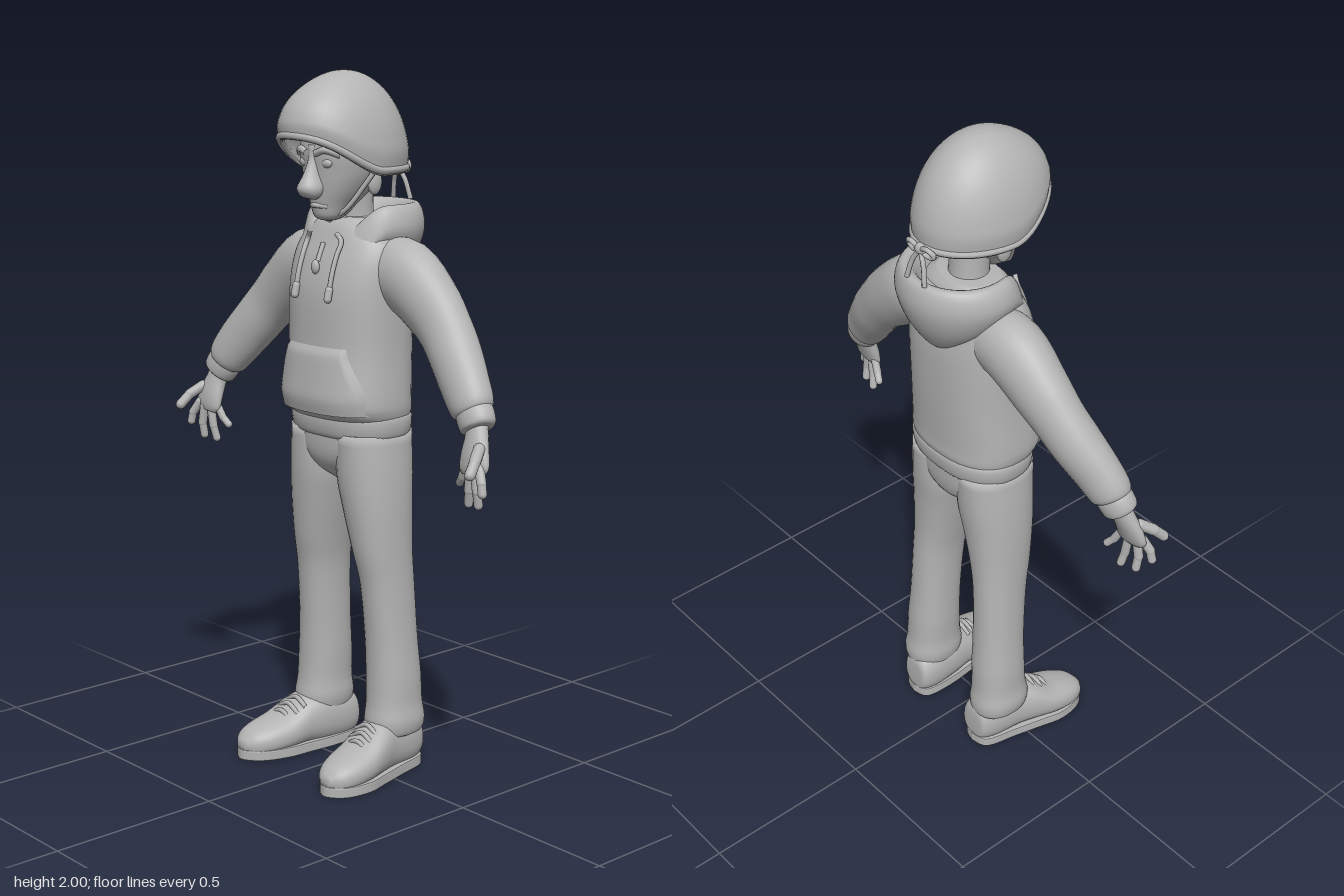
import * as THREE from 'three';

const grey = new THREE.MeshStandardMaterial({ color: 0xb4b4b4 });
grey.name = 'plain grey';
const V = (x, y, z) => new THREE.Vector3(x, y, z);
const smooth = THREE.MathUtils.smoothstep;

// Smooth skin through rows [x, y, z, a, b]; b is the half size along ref, a across it.
// An axis keeps all rings parallel, otherwise they follow the path.
function loft(rows, { ref = V(1, 0, 0), axis = null, n = 2, seg = 32, sub = 4, deform } = {}) {
  const path = new THREE.CatmullRomCurve3(rows.map(r => V(r[0], r[1], r[2])), false, 'catmullrom');
  const size = new THREE.CatmullRomCurve3(rows.map(r => V(r[3], r[4], 0)), false, 'catmullrom');
  const steps = (rows.length - 1) * sub, pos = [], idx = [];
  for (let i = 0; i <= steps; i++) {
    const t = i / steps, c = path.getPoint(t), s = size.getPoint(t);
    const w = axis || path.getTangent(t);
    const v = ref.clone().addScaledVector(w, -ref.dot(w)).normalize();
    const u = v.clone().cross(w);
    for (let j = 0; j < seg; j++) {
      const q = j / seg * Math.PI * 2, cs = Math.cos(q), sn = Math.sin(q);
      const p = c.clone()
        .addScaledVector(u, Math.sign(cs) * Math.abs(cs) ** (2 / n) * s.x)
        .addScaledVector(v, Math.sign(sn) * Math.abs(sn) ** (2 / n) * s.y);
      if (deform) deform(p);
      pos.push(p.x, p.y, p.z);
      if (i < steps) {
        const a = i * seg + j, b = i * seg + (j + 1) % seg;
        idx.push(a, b, a + seg, b, b + seg, a + seg);
      }
    }
  }
  // end caps
  for (const i of [0, steps]) {
    const c = path.getPoint(i / steps), k = pos.length / 3;
    if (deform) deform(c);
    pos.push(c.x, c.y, c.z);
    for (let j = 0; j < seg; j++) {
      const a = i * seg + j, b = i * seg + (j + 1) % seg;
      if (i) idx.push(a, b, k); else idx.push(b, a, k);
    }
  }
  const g = new THREE.BufferGeometry();
  g.setAttribute('position', new THREE.Float32BufferAttribute(pos, 3));
  g.setIndex(idx);
  g.computeVertexNormals();
  return g;
}

const UP = V(0, 1, 0);
const upright = (rows, o = {}) => loft(rows, { axis: UP, ...o });
const tube = (pts, r, closed = false) =>
  new THREE.TubeGeometry(new THREE.CatmullRomCurve3(pts, closed), closed ? 64 : 16, r, 8, closed);

// Torso rows double as the guide for parts lying on the chest
const TORSO = [
  [0, 1.035, -.03, .128, .183], [0, 1.06, -.02, .145, .192], [0, 1.1, -.015, .15, .195],
  [0, 1.23, -.025, .145, .188], [0, 1.38, -.028, .143, .19], [0, 1.47, -.033, .128, .19],
  [0, 1.53, -.038, .108, .175], [0, 1.575, -.04, .09, .13], [0, 1.6, -.04, .07, .09],
];
function chestZ(x, y) {
  let i = 0;
  while (i < TORSO.length - 2 && TORSO[i + 1][1] < y) i++;
  const A = TORSO[i], B = TORSO[i + 1], t = (y - A[1]) / (B[1] - A[1]);
  const [z, a, b] = [2, 3, 4].map(k => A[k] + (B[k] - A[k]) * t);
  return z + a * Math.max(0, 1 - Math.abs(x / b) ** 2.4) ** (1 / 2.4);
}

export function createModel() {
  const model = new THREE.Group();
  model.name = 'figure';
  const add = (name, geo, parent = model) => {
    const m = new THREE.Mesh(geo, grey);
    m.name = name;
    parent.add(m);
    return m;
  };
  const capsule = (name, p, q, r, parent) => {
    const d = q.clone().sub(p);
    const m = add(name, new THREE.CapsuleGeometry(r, d.length(), 6, 12), parent);
    m.position.copy(p).lerp(q, .5);
    m.quaternion.setFromUnitVectors(UP, d.normalize());
  };
  const ball = (name, x, y, z, rx, ry, rz, parent) => {
    const m = add(name, new THREE.SphereGeometry(1, 20, 14), parent);
    m.position.set(x, y, z);
    m.scale.set(rx, ry, rz);
  };

  // Hooded sweater
  add('sweater', upright(TORSO, { n: 2.4, seg: 48 }));
  add('sweaterHem', upright([
    [0, .985, -.03, .118, .172], [0, .995, -.03, .129, .185], [0, 1.025, -.03, .135, .191],
    [0, 1.05, -.03, .132, .188], [0, 1.06, -.03, .11, .17]], { n: 2.4, seg: 48 }));
  add('hood', upright([
    [0, 1.4, -.125, .03, .03], [0, 1.43, -.125, .06, .075], [0, 1.49, -.1, .12, .14],
    [0, 1.555, -.075, .165, .178], [0, 1.605, -.075, .163, .175], [0, 1.635, -.075, .148, .155],
    [0, 1.625, -.07, .125, .13], [0, 1.57, -.06, .105, .11]], {
    seg: 48,
    deform: p => { p.y -= .13 * smooth(p.z, -.06, .09) ** 2 * smooth(p.y, 1.45, 1.6); },
  }));

  // Front pocket, a slightly raised panel with slanted openings
  const pocket = new THREE.PlaneGeometry(2, 1, 24, 12), pp = pocket.attributes.position;
  for (let i = 0; i < pp.count; i++) {
    const s = pp.getX(i), t = pp.getY(i) + .5;
    const y = 1.06 + .19 * t, x = s * (.178 - .055 * smooth(t, .2, 1));
    const edge = Math.min(1, (1 - Math.abs(s)) * 12, (1 - t) * 10);
    pp.setXYZ(i, x, y, chestZ(x, y) - .003 + .015 * edge);
  }
  pocket.computeVertexNormals();
  add('pocket', pocket);

  // Zip pull and collar zip
  add('zip', tube([1.53, 1.5, 1.48].map(y => V(0, y, chestZ(0, y) + .004)), .007));
  ball('zipPull', 0, 1.465, chestZ(0, 1.465) + .008, .014, .02, .01);

  // Head
  add('neck', upright([[0, 1.5, -.045, .065, .07], [0, 1.6, -.04, .055, .056], [0, 1.72, -.03, .06, .06]]));
  add('head', upright([
    [0, 1.592, .055, .02, .02], [0, 1.603, .05, .045, .04], [0, 1.635, .035, .068, .058],
    [0, 1.68, .015, .094, .088], [0, 1.73, .0, .113, .112], [0, 1.79, -.01, .128, .124],
    [0, 1.87, -.01, .11, .11]], { n: 2.1 }));
  add('nose', upright([
    [0, 1.652, .112, .008, .012], [0, 1.662, .12, .028, .03], [0, 1.685, .118, .042, .036],
    [0, 1.72, .108, .034, .023], [0, 1.76, .1, .025, .017], [0, 1.8, .1, .02, .02]], { seg: 20 }));
  add('mouth', tube([V(-.034, 1.632, .086), V(0, 1.635, .105), V(.034, 1.632, .086)], .007));

  // Helmet shell, open below, its rim rising over the brow
  const rimLift = z => .1 * smooth(z, -.02, .22);
  const dome = [[0, 1.86, 0, .13, .1], [0, 1.78, 0, .175, .138], [0, 1.725, 0, .182, .143], [0, 1.722, 0, .194, .151]];
  for (let i = 1; i <= 10; i++) {
    const q = i / 10 * Math.PI / 2, c = Math.max(.004, Math.cos(q - .06 * (1 - i / 10)));
    dome.push([0, 1.73 + .27 * Math.sin(q), 0, .2 * c, .16 * c]);
  }
  add('helmet', upright(dome, {
    seg: 48, deform: p => { p.y += rimLift(p.z) * (1 - (p.y - 1.73) / .27); },
  }));
  const rim = Array.from({ length: 32 }, (_, i) => {
    const q = i / 16 * Math.PI, z = .193 * Math.cos(q);
    return V(.15 * Math.sin(q), 1.732 + rimLift(z), z);
  });
  add('helmetRim', tube(rim, .011, true));
  ball('strapKnot', 0, 1.728, -.203, .02, .016, .014);

  // Trouser seat
  add('trouserSeat', upright([
    [0, .85, -.035, .05, .03], [0, .89, -.033, .1, .1], [0, .94, -.03, .118, .165],
    [0, 1.02, -.03, .12, .178]], { n: 2.3 }));

  // Mirrored parts: +x is the figure's left
  for (const s of [1, -1]) {
    const side = new THREE.Group();
    side.name = s > 0 ? 'leftSide' : 'rightSide';
    model.add(side);
    const flip = rows => rows.map(([x, ...r]) => [x * s, ...r]);
    const P = (x, y, z) => V(x * s, y, z);
    const put = (name, geo) => add(name, geo, side);
    const arm = { ref: V(0, 0, 1) };

    put('sleeve', loft(flip([
      [.1, 1.455, -.055, .09, .08], [.2, 1.445, -.055, .102, .085], [.3, 1.375, -.053, .092, .076],
      [.365, 1.315, -.045, .082, .069], [.42, 1.255, -.03, .078, .068], [.48, 1.185, -.008, .074, .061],
      [.52, 1.135, .005, .066, .056], [.532, 1.118, .008, .05, .044]]), arm));
    put('cuff', loft(flip([
      [.525, 1.128, .006, .045, .04], [.532, 1.12, .008, .056, .048], [.552, 1.09, .015, .054, .045],
      [.557, 1.082, .017, .038, .034]]), arm));

    // Hand with spread fingers
    put('palm', loft(flip([
      [.545, 1.1, .012, .032, .028], [.557, 1.06, .025, .038, .026], [.565, 1.02, .038, .048, .024],
      [.57, .985, .046, .052, .019], [.572, .968, .05, .04, .012]]), { ...arm, seg: 20 }));
    const digits = [
      ['thumb', [.592, 1.04, .05], [.612, 1.015, .085], [.622, .985, .113], .016],
      ['indexFinger', [.6, .99, .056], [.62, .955, .068], [.626, .928, .07], .0135],
      ['middleFinger', [.582, .978, .053], [.591, .925, .054], [.59, .888, .048], .0135],
      ['ringFinger', [.557, .975, .047], [.55, .92, .044], [.543, .883, .037], .013],
      ['littleFinger', [.533, .985, .04], [.515, .95, .034], [.498, .93, .026], .012],
    ];
    for (const [name, a, b, c, r] of digits) {
      capsule(name, P(...a), P(...b), r, side);
      capsule(name + 'Tip', P(...b), P(...c), r * .93, side);
    }

    put('trouserLeg', upright(flip([
      [.153, .115, -.058, .075, .06], [.155, .125, -.06, .088, .07], [.155, .16, -.06, .092, .076],
      [.153, .21, -.06, .085, .071], [.15, .29, -.06, .082, .071], [.145, .4, -.055, .079, .067],
      [.138, .56, -.045, .083, .066], [.128, .66, -.035, .092, .073], [.113, .78, -.03, .104, .086],
      [.1, .88, -.03, .114, .094], [.097, 1.0, -.03, .118, .086]]), { n: 2.2 }));

    // Shoe
    put('shoe', loft(flip([
      [.14, .07, -.153, .03, .025], [.14, .08, -.145, .06, .048], [.143, .085, -.1, .08, .062],
      [.15, .09, -.02, .083, .068], [.162, .085, .035, .074, .073], [.172, .065, .1, .055, .078],
      [.18, .052, .165, .047, .07], [.185, .045, .21, .036, .05], [.187, .042, .235, .014, .02]]), {
      axis: V(0, 0, 1), n: 2.3, deform: p => { p.y = Math.max(p.y, .012); },
    }));
    const outline = new THREE.Shape(new THREE.SplineCurve([
      [.14, -.155], [.19, -.135], [.215, -.04], [.238, .05], [.254, .12], [.24, .2], [.187, .24],
      [.13, .2], [.1, .12], [.093, .04], [.086, -.05], [.095, -.135], [.14, -.155],
    ].map(([x, z]) => new THREE.Vector2(x * s, -z))).getPoints(60));
    const sole = new THREE.ExtrudeGeometry(outline, {
      depth: .022, bevelEnabled: true, bevelSize: .003, bevelThickness: .005, bevelSegments: 2, bevelOffset: -.003,
    });
    put('shoeSole', sole.rotateX(-Math.PI / 2).translate(0, .005, 0));
    [[.158, .05, .158], [.165, .075, .142], [.17, .098, .124]].forEach(([x, z, y]) =>
      put('shoeLace', tube([P(x - .045, y - .022, z), P(x, y, z), P(x + .045, y - .022, z)], .007)));

    // Face details, ear and chin strap
    ball('eye', s * .045, 1.752, .1, .02, .014, .012, side);
    put('brow', tube([P(.018, 1.778, .118), P(.05, 1.788, .112), P(.085, 1.775, .085)], .01));
    ball('ear', s * .112, 1.7, -.015, .014, .036, .024, side);
    put('chinStrap', tube([P(.138, 1.74, .0), P(.108, 1.69, .02), P(.062, 1.625, .045), P(0, 1.59, .055)], .007));

    // Knotted strap ends behind the helmet
    put('strapLoop', tube([P(0, 1.728, -.205), P(.035, 1.742, -.21), P(.052, 1.725, -.2), P(.03, 1.715, -.202), P(0, 1.726, -.205)], .007));
    put('strapTail', tube([P(0, 1.728, -.205), P(.022, 1.69, -.213), P(.036, 1.635, -.222)], .007));

    // Hood drawstring
    const cord = [1.54, 1.5, 1.45, 1.4].map(y => P(.07, y, chestZ(.07, y) + .01));
    cord.unshift(P(.055, 1.56, .075));
    put('drawstring', tube(cord, .007));
    capsule('drawstringEnd', P(.07, 1.408, chestZ(.07, 1.408) + .011), P(.07, 1.383, chestZ(.07, 1.383) + .011), .011, side);
  }
  return model;
}
